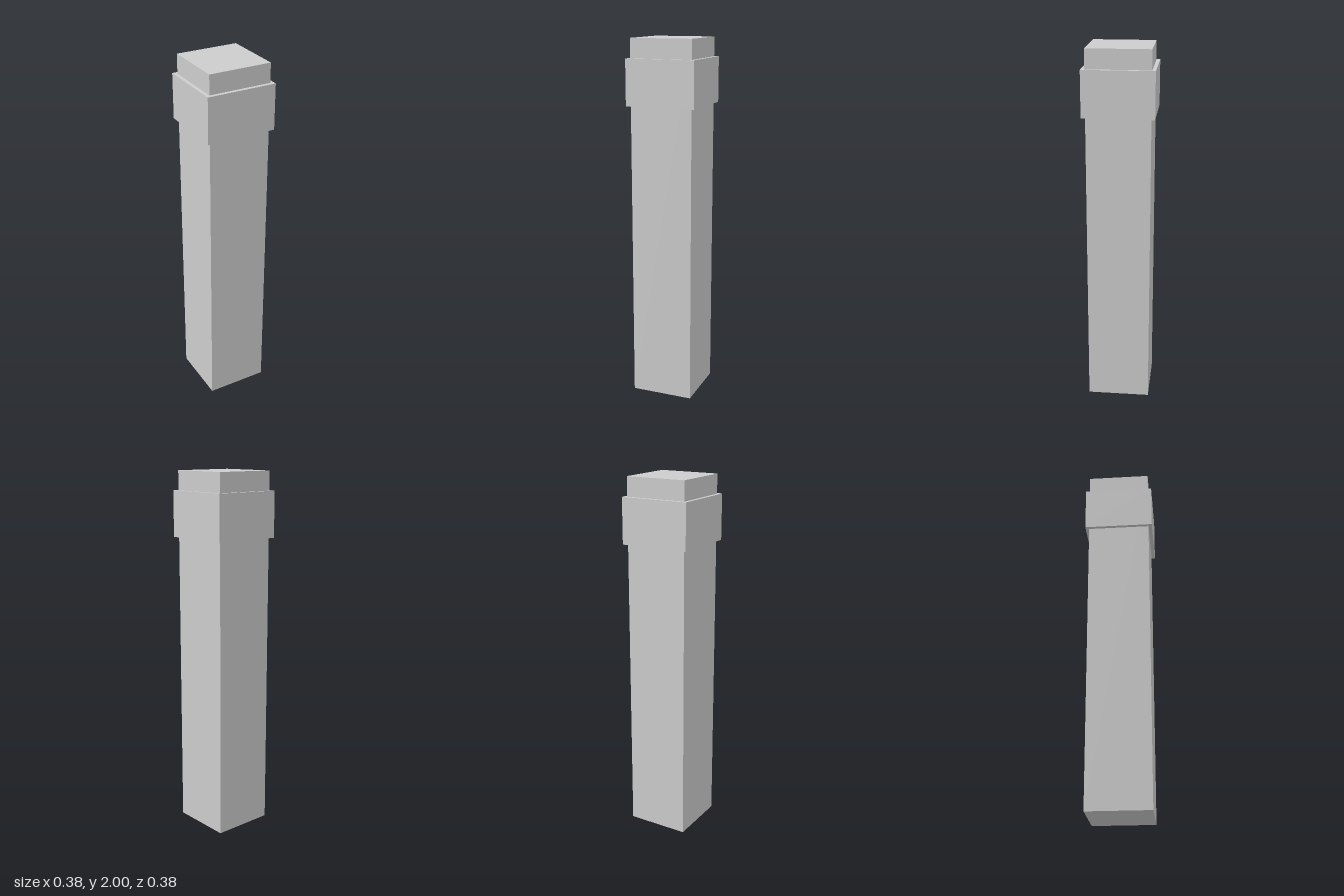
import * as THREE from 'three';

export function createModel() {
  const group = new THREE.Group();
  group.name = 'squarePost';
  const stone = new THREE.MeshStandardMaterial({ color: 0xcccccc });
  stone.name = 'light grey';

  // Square block standing between two heights
  const addBlock = (name, width, bottom, top) => {
    const mesh = new THREE.Mesh(new THREE.BoxGeometry(width, top - bottom, width), stone);
    mesh.name = name;
    mesh.position.y = (bottom + top) / 2;
    group.add(mesh);
  };

  // Full-height shaft with a wider band near the top
  addBlock('shaft', 0.345, 0, 2);
  addBlock('collar', 0.385, 1.645, 1.895);

  return group;
}
